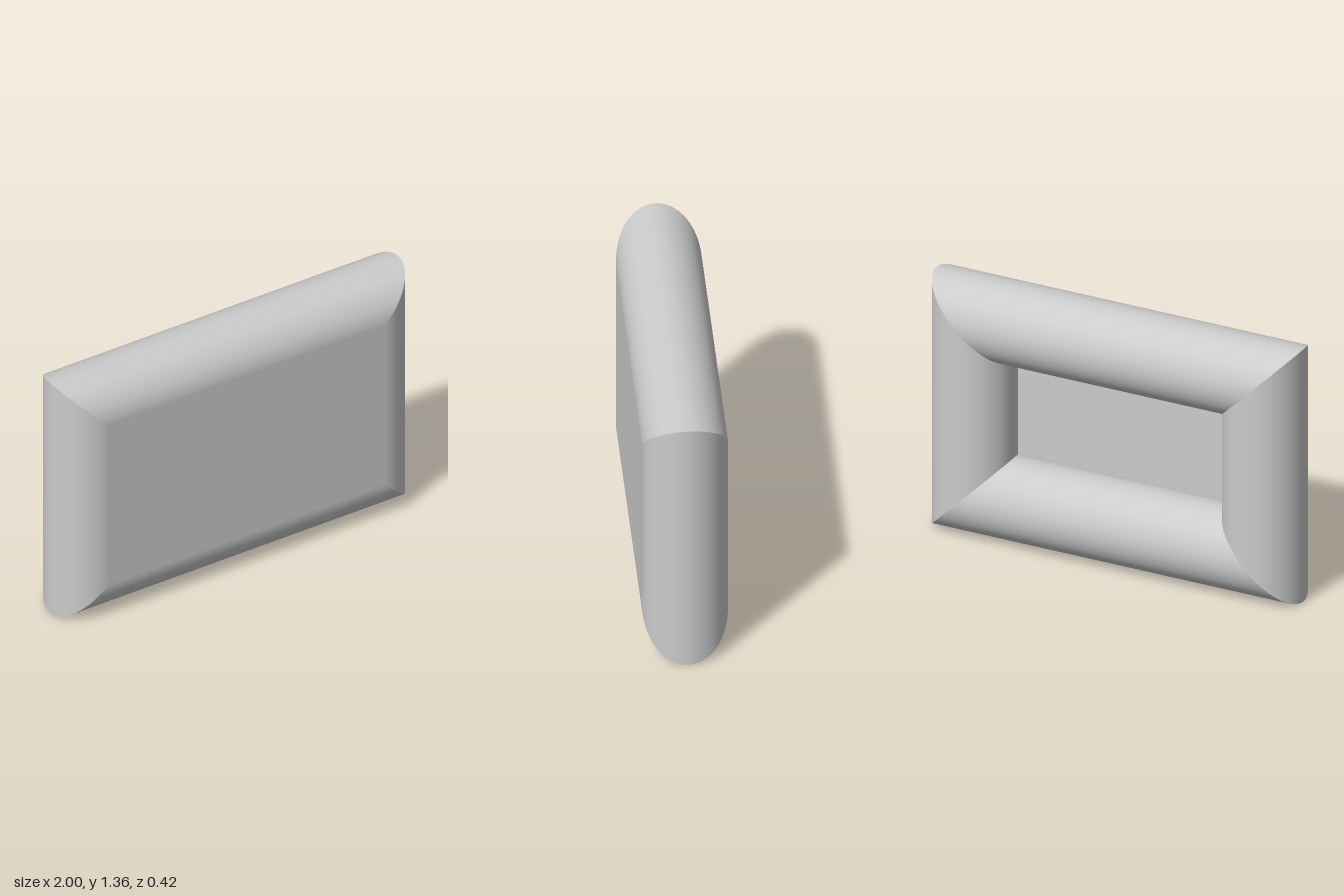
import * as THREE from 'three';

const R = 0.209;      // tube radius
const HX = 1 - R;     // half width between tube axes
const HY = 0.679 - R; // half height between tube axes

// Vertical tube whose ends are cut at 45 degrees, outer side facing +x
function mitredTube(halfLength, distance) {
  const geometry = new THREE.CylinderGeometry(R, R, 2, 72, 1, true);
  const p = geometry.attributes.position;
  for (let i = 0; i < p.count; i++) {
    p.setY(i, Math.sign(p.getY(i)) * (halfLength + p.getX(i)));
  }
  geometry.translate(distance, 0, 0);
  return geometry;
}

export function createModel() {
  const model = new THREE.Group();
  model.name = 'roundedFrame';
  const material = new THREE.MeshStandardMaterial({ color: 0xcccccc, side: THREE.DoubleSide });

  // Four rails meeting in mitred corners
  ['leftRail', 'topRail', 'rightRail', 'bottomRail'].forEach((name, k) => {
    const upright = k % 2 === 0;
    const geometry = upright ? mitredTube(HY, HX) : mitredTube(HX, HY);
    geometry.rotateZ(k * Math.PI / 2);
    const rail = new THREE.Mesh(geometry, material);
    rail.name = name;
    rail.position.y = HY + R;
    model.add(rail);
  });

  // Flat sheet closing the front, tangent to the rails
  const panel = new THREE.Mesh(new THREE.PlaneGeometry(2 * HX, 2 * HY), material);
  panel.name = 'frontPanel';
  panel.position.set(0, HY + R, R);
  model.add(panel);

  return model;
}
